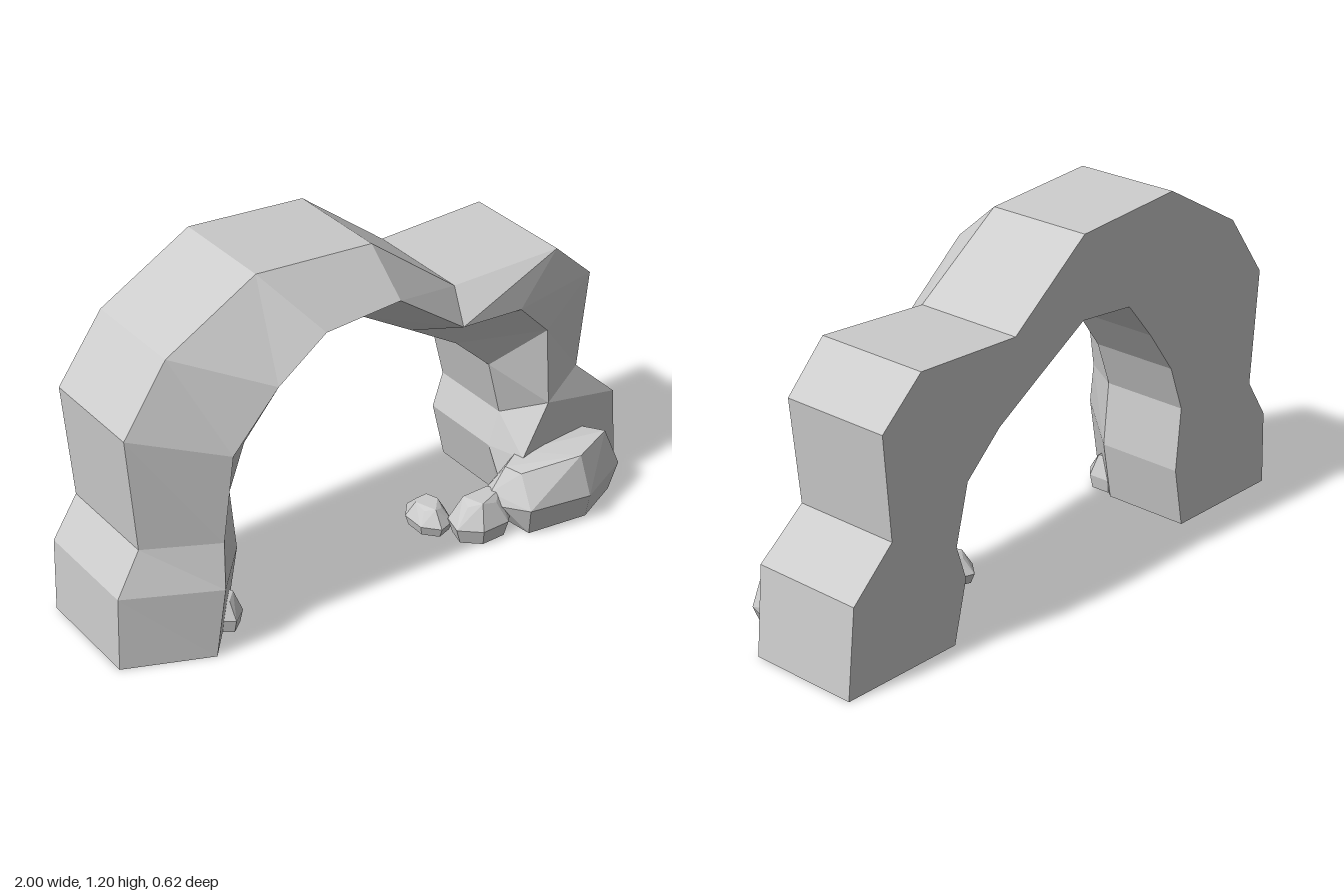
import * as THREE from 'three';
import { ConvexGeometry } from 'three/addons/geometries/ConvexGeometry.js';

const BACK = -0.31;

// Stations along the arch: outer x, y, front z | front ridge x, y, z | inner x, y
const stations = [
  [[-1, 0, 0.08], [-0.72, 0, 0.2], [-0.55, 0]],
  [[-0.99, 0.26, 0.08], [-0.69, 0.25, 0.215], [-0.51, 0.21]],
  [[-0.9, 0.4, 0.065], [-0.67, 0.4, 0.185], [-0.53, 0.43]],
  [[-0.93, 0.8, 0.07], [-0.64, 0.71, 0.205], [-0.47, 0.59]],
  [[-0.77, 1.02, 0.06], [-0.49, 0.91, 0.23], [-0.36, 0.74]],
  [[-0.45, 1.2, 0.06], [-0.32, 1.04, 0.235], [-0.25, 0.87]],
  [[-0.03, 1.17, 0.06], [-0.03, 1.04, 0.21], [-0.03, 0.89]],
  [[0.28, 0.93, 0.075], [0.23, 0.85, 0.19], [0.17, 0.77]],
  [[0.68, 0.945, 0.095], [0.49, 0.81, 0.155], [0.35, 0.66]],
  [[0.84, 0.8, 0.08], [0.62, 0.68, 0.135], [0.49, 0.53]],
  [[0.81, 0.45, 0.07], [0.635, 0.4, 0.14], [0.54, 0.33]],
  [[0.97, 0.3, 0.085], [0.53, 0.22, 0.145], [0.5, 0.21]],
  [[1, 0, 0.08], [0.49, 0, 0.14], [0.55, 0]],
];

// Five-cornered sections joined into a closed, faceted solid
function archGeometry() {
  const sections = stations.map(([o, r, i]) => [
    [o[0], o[1], BACK], o, r, [i[0], i[1], 0], [i[0], i[1], BACK],
  ]);
  const pos = [];
  const tri = (...corners) => corners.forEach((c) => pos.push(...c));
  for (let s = 0; s < sections.length - 1; s++) {
    const p = sections[s], q = sections[s + 1];
    for (let k = 0; k < 5; k++) {
      const n = (k + 1) % 5;
      tri(p[k], p[n], q[k]);
      tri(p[n], q[n], q[k]);
    }
  }
  // Soles of the two legs
  const a = sections[0], b = sections[sections.length - 1];
  for (let k = 1; k < 4; k++) {
    tri(a[0], a[k + 1], a[k]);
    tri(b[0], b[k], b[k + 1]);
  }
  const g = new THREE.BufferGeometry();
  g.setAttribute('position', new THREE.Float32BufferAttribute(pos, 3));
  g.computeVertexNormals();
  return g;
}

// Faceted boulder from three rings
function rockGeometry(cx, cz, rx, rz, h, sides, turn) {
  const pts = [];
  for (const [y, s] of [[0, 0.85], [0.4, 1], [1, 0.55]]) {
    for (let i = 0; i < sides; i++) {
      const t = turn + (i / sides) * Math.PI * 2;
      const lift = y === 1 ? 1 - 0.12 * (i % 2) : y;
      pts.push(new THREE.Vector3(cx + Math.cos(t) * rx * s, h * lift, cz + Math.sin(t) * rz * s));
    }
  }
  return new ConvexGeometry(pts);
}

export function createModel() {
  const model = new THREE.Group();
  const stone = new THREE.MeshStandardMaterial({ color: 0xcccccc, flatShading: true });
  stone.name = 'stone';
  const add = (name, geometry) => {
    const mesh = new THREE.Mesh(geometry, stone);
    mesh.name = name;
    model.add(mesh);
  };

  add('stoneArch', archGeometry());

  // Large boulder against the left leg
  add('largeBoulder', new ConvexGeometry([
    [0.48, 0, 0.25], [0.7, 0, 0.28], [0.87, 0, 0.2], [0.88, 0, 0.09], [0.46, 0, 0.08],
    [0.41, 0.1, 0.19], [0.46, 0.11, 0.28], [0.69, 0.1, 0.31], [0.91, 0.09, 0.2], [0.88, 0.1, 0.1], [0.41, 0.11, 0.09],
    [0.4, 0.135, 0.14], [0.46, 0.215, 0.14],
    [0.48, 0.21, 0.2], [0.68, 0.24, 0.265], [0.84, 0.245, 0.2], [0.82, 0.22, 0.1], [0.54, 0.225, 0.1],
  ].map((p) => new THREE.Vector3(...p))));

  // Smaller stones beside the legs
  add('mediumRock', rockGeometry(0.36, 0.14, 0.12, 0.09, 0.14, 7, 0.2));
  add('smallRock', rockGeometry(0.24, 0.01, 0.07, 0.1, 0.09, 7, 0));
  add('rightLegRock', rockGeometry(-0.61, 0.06, 0.06, 0.08, 0.12, 6, 0.5));
  return model;
}
